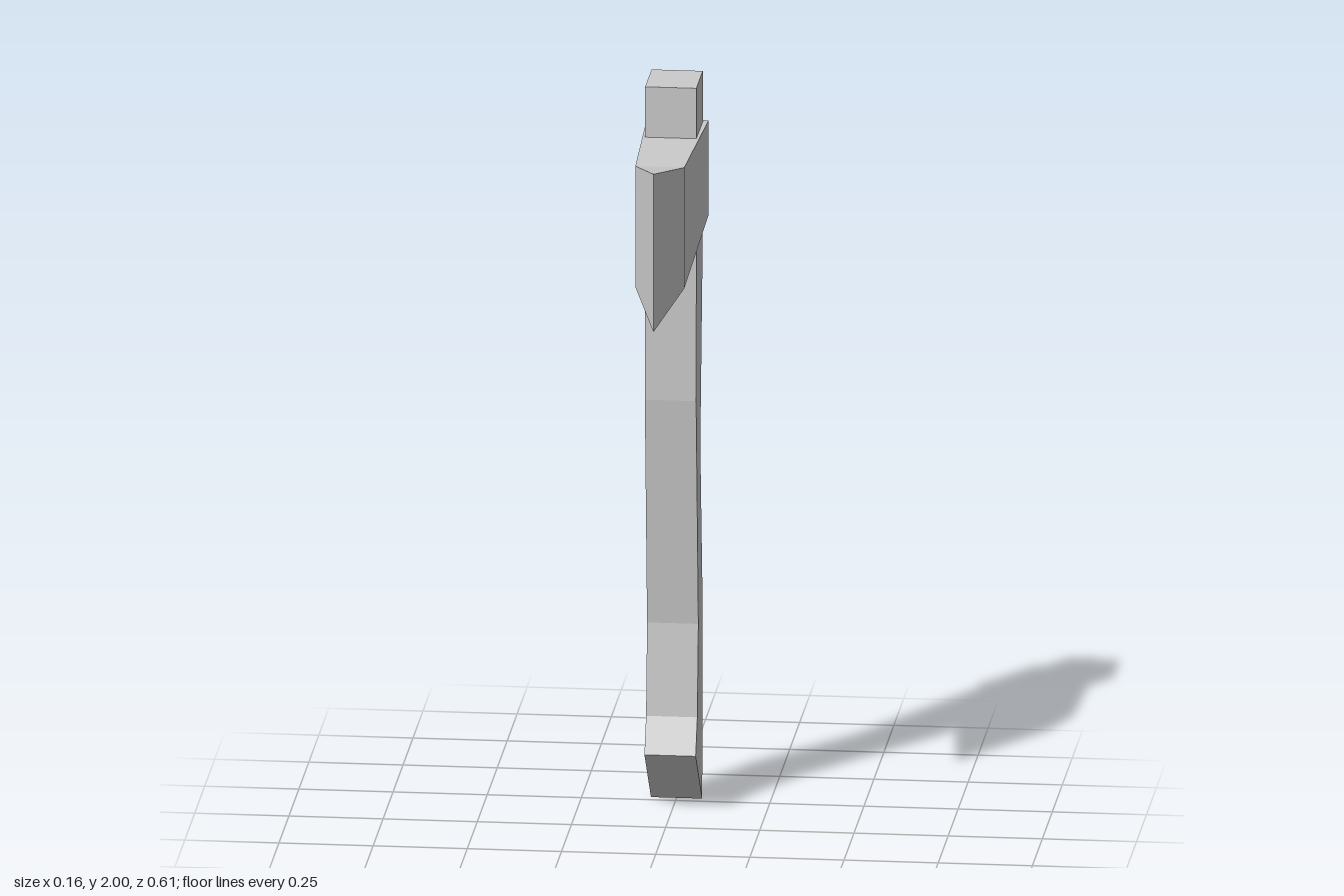
import * as THREE from 'three';

const material = new THREE.MeshStandardMaterial({ color: 0xcccccc, flatShading: true });

// Curved wooden handle: side outline as [z, y], extruded across x
function createHandle() {
  const outline = [
    [-0.275, 0], [-0.111, 0.165], [-0.153, 0.26], [-0.178, 0.51], [-0.122, 1.14], [-0.129, 1.6], [-0.129, 2],
    [-0.29, 2], [-0.288, 1.6], [-0.282, 1.48], [-0.228, 0.99], [-0.288, 0.52],
  ];
  const width = 0.136;
  const shape = new THREE.Shape(outline.map(([z, y]) => new THREE.Vector2(z, y)));
  const geometry = new THREE.ExtrudeGeometry(shape, { depth: width, bevelEnabled: false });
  geometry.translate(0, 0, -width / 2);
  geometry.rotateY(-Math.PI / 2);
  const mesh = new THREE.Mesh(geometry, material);
  mesh.name = 'handle';
  return mesh;
}

// Axe head: rectangular sections from the flat back to the sharp edge
function createHead() {
  const sections = [
    { z: -0.305, half: 0.082, bottom: 1.6, top: 1.86 },
    { z: 0.145, half: 0.065, bottom: 1.53, top: 1.863 },
    { z: 0.305, half: 0, bottom: 1.455, top: 1.89 },
  ];
  const rings = sections.map(({ z, half, bottom, top }) => [
    [half, top, z], [-half, top, z], [-half, bottom, z], [half, bottom, z],
  ]);
  const positions = [];
  const triangle = (a, b, c) => positions.push(...a, ...b, ...c);

  for (let i = 0; i < rings.length - 1; i++) {
    for (let j = 0; j < 4; j++) {
      const k = (j + 1) % 4;
      triangle(rings[i][j], rings[i][k], rings[i + 1][k]);
      // Top and bottom close to a single point at the cutting edge
      const pointed = sections[i + 1].half === 0 && j % 2 === 0;
      if (!pointed) triangle(rings[i][j], rings[i + 1][k], rings[i + 1][j]);
    }
  }
  // Flat back
  const [a, b, c, d] = rings[0];
  triangle(a, c, b);
  triangle(a, d, c);

  const geometry = new THREE.BufferGeometry();
  geometry.setAttribute('position', new THREE.Float32BufferAttribute(positions, 3));
  geometry.computeVertexNormals();
  const mesh = new THREE.Mesh(geometry, material);
  mesh.name = 'axeHead';
  return mesh;
}

export function createModel() {
  const group = new THREE.Group();
  group.name = 'axe';
  group.add(createHandle(), createHead());
  return group;
}
